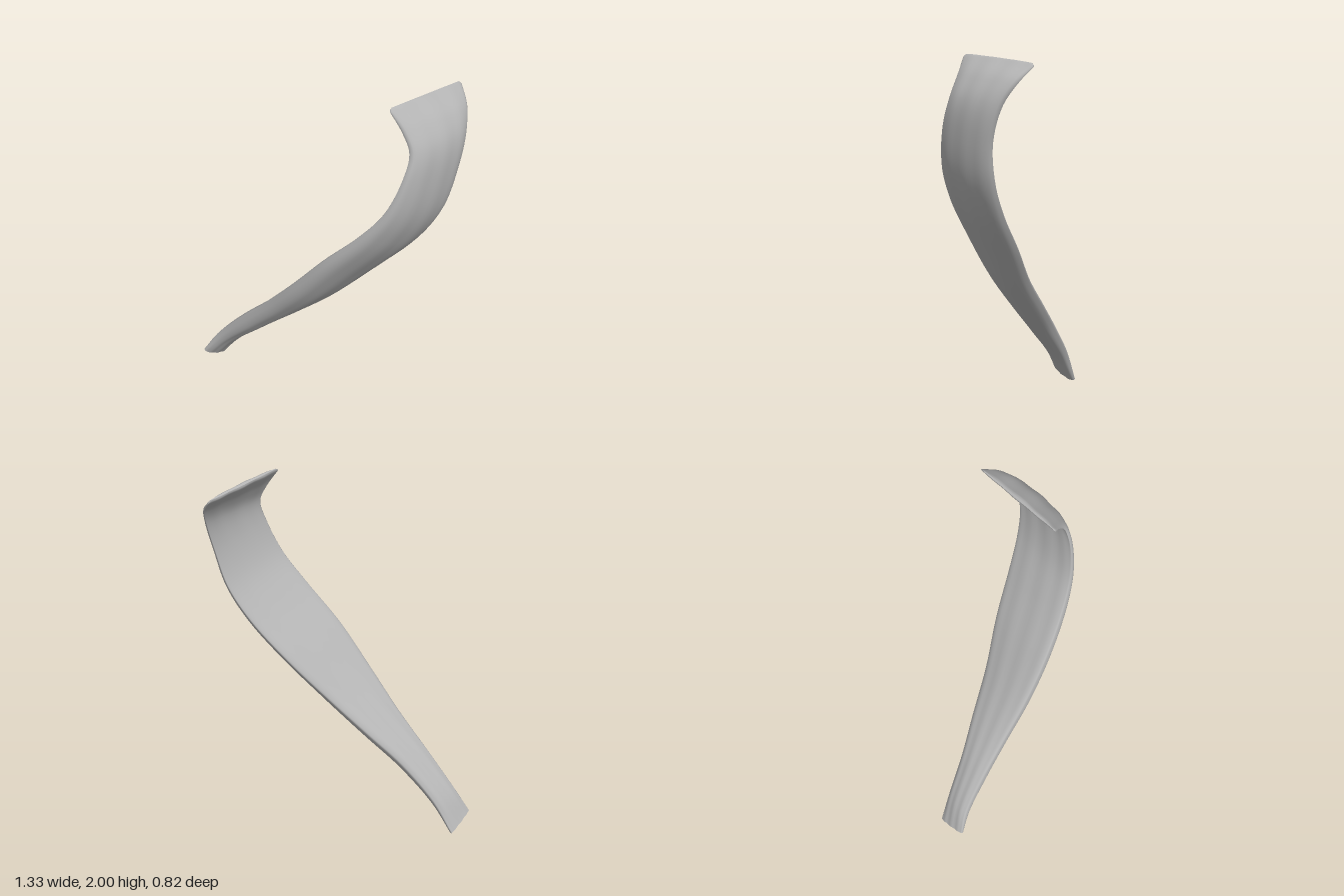
import * as THREE from 'three';

// Each station: front edge xyz, back edge xyz, outer bulge, inner bulge
const STATIONS = [
  [-0.655, 0.08, 0.41, -0.648, 0.005, 0.25, 0.03, 0.012],
  [-0.57, 0.21, 0.378, -0.535, 0.185, 0.22, 0.055, 0.025],
  [-0.40, 0.40, 0.355, -0.35, 0.385, 0.165, 0.08, 0.03],
  [-0.20, 0.60, 0.34, -0.16, 0.555, 0.09, 0.09, 0.03],
  [0.00, 0.82, 0.33, 0.05, 0.74, 0.01, 0.098, 0.03],
  [0.20, 1.06, 0.302, 0.26, 0.96, -0.09, 0.10, 0.025],
  [0.40, 1.28, 0.245, 0.46, 1.18, -0.165, 0.09, 0.02],
  [0.52, 1.45, 0.19, 0.575, 1.37, -0.21, 0.07, 0.012],
  [0.58, 1.65, 0.125, 0.625, 1.58, -0.245, 0.055, 0.004],
  [0.58, 1.78, 0.08, 0.62, 1.76, -0.305, 0.053, -0.004],
  [0.53, 1.88, 0.08, 0.575, 1.87, -0.365, 0.046, -0.004],
  [0.465, 1.98, 0.10, 0.505, 1.95, -0.408, 0.024, 0.004],
];
const RINGS = 66, SIDES = 40;

const curveFrom = (pick) => new THREE.CatmullRomCurve3(STATIONS.map((s) => new THREE.Vector3(...pick(s))));

// Flattened, cambered cross-sections lofted between two edge curves
function stripRings() {
  const front = curveFrom((s) => s.slice(0, 3));
  const back = curveFrom((s) => s.slice(3, 6));
  const bulge = curveFrom((s) => [s[6], s[7], 0]);
  const middle = (t) => front.getPoint(t).add(back.getPoint(t)).multiplyScalar(0.5);

  const ring = (t, scale = 1, lift = 0) => {
    const t0 = Math.max(0, t - 0.01), t1 = Math.min(1, t + 0.01);
    const along = middle(t1).sub(middle(t0)).normalize();
    const half = front.getPoint(t).sub(back.getPoint(t)).multiplyScalar(0.5);
    const outward = new THREE.Vector3().crossVectors(along, half).normalize();
    const b = bulge.getPoint(t);
    const centre = middle(t).addScaledVector(along, lift);
    const mid = (b.x - b.y) / 2;
    const points = [];
    for (let j = 0; j < SIDES; j++) {
      const a = (j / SIDES) * Math.PI * 2;
      const s = Math.sin(a);
      const round = Math.pow(Math.abs(s), 0.75);
      // faint lengthwise fibres
      const fibre = 0.002 * Math.sin(a * 9 + t * 7) * Math.abs(s);
      const offset = (s >= 0 ? b.x : -b.y) * round + fibre;
      points.push(centre.clone()
        .addScaledVector(half, Math.cos(a) * (1 - (1 - scale) * 0.12))
        .addScaledVector(outward, mid + (offset - mid) * scale));
    }
    return points;
  };

  const rings = [];
  for (let i = 0; i <= RINGS; i++) rings.push(ring(i / RINGS));
  // rounded upper lip
  rings.push(ring(1, 0.8, 0.01), ring(1, 0.4, 0.016));
  return rings;
}

function loft(rings) {
  const position = rings.flat().flatMap((p) => p.toArray());
  const index = [];
  for (let i = 0; i < rings.length - 1; i++) {
    for (let j = 0; j < SIDES; j++) {
      const k = (j + 1) % SIDES, r = i * SIDES, q = r + SIDES;
      index.push(r + j, r + k, q + j, r + k, q + k, q + j);
    }
  }
  return geometry(position, index);
}

function cap(points, flip) {
  const centre = points.reduce((sum, p) => sum.add(p), new THREE.Vector3()).divideScalar(points.length);
  const index = [];
  for (let j = 0; j < SIDES; j++) {
    const k = (j + 1) % SIDES;
    index.push(SIDES, flip ? k : j, flip ? j : k);
  }
  return geometry([...points, centre].flatMap((p) => p.toArray()), index);
}

function geometry(position, index) {
  const g = new THREE.BufferGeometry();
  g.setAttribute('position', new THREE.Float32BufferAttribute(position, 3));
  g.setIndex(index);
  g.computeVertexNormals();
  return g;
}

export function createModel() {
  const group = new THREE.Group();
  group.name = 'curvedMuscle';
  const grey = new THREE.MeshStandardMaterial({ color: 0xb4b4b4 });
  grey.name = 'light grey';
  const add = (name, geo) => {
    const mesh = new THREE.Mesh(geo, grey);
    mesh.name = name;
    group.add(mesh);
  };
  const rings = stripRings();
  add('muscleStrip', loft(rings));
  add('lowerEnd', cap(rings[0], true));
  add('upperLip', cap(rings[rings.length - 1], false));
  return group;
}
